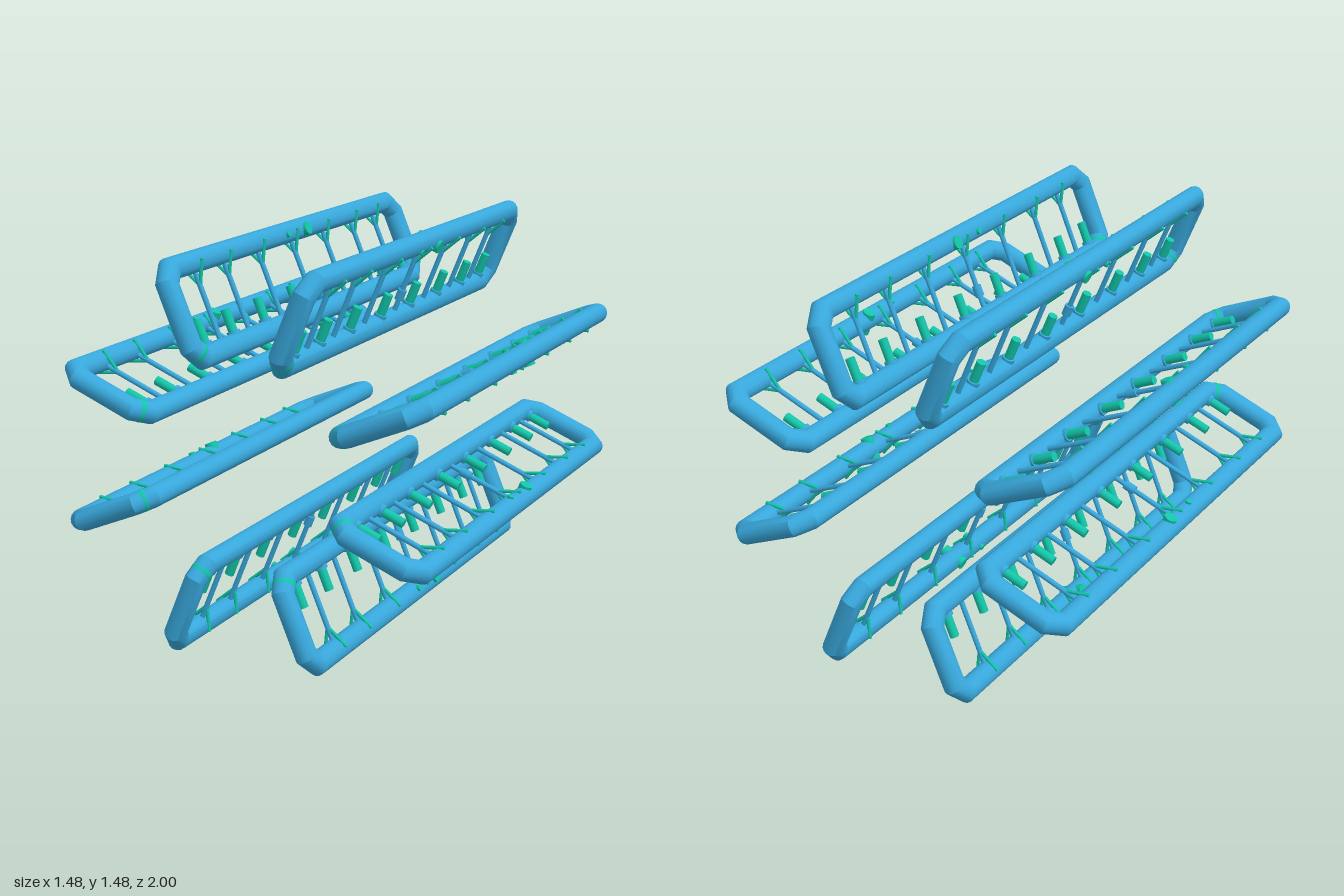
import * as THREE from 'three';
import { toCreasedNormals } from 'three/addons/utils/BufferGeometryUtils.js';

const blue = new THREE.MeshStandardMaterial({ color: 0x38a8dc });
const teal = new THREE.MeshStandardMaterial({ color: 0x12c4a8 });

const INNER = 0.42, OUTER = 0.755, END = 0.958, CHAMFER = 0.05, TUBE = 0.042;
const CENTRE_Y = 0.74;

// Closed tube with mitred, chamfered corners, lying in the xz plane
function frameGeometry() {
  const c = CHAMFER, z = END - CHAMFER, sides = 16;
  const path = [
    [OUTER, -z], [OUTER, z], [OUTER - c, END], [INNER + c, END],
    [INNER, z], [INNER, -z], [INNER + c, -END], [OUTER - c, -END],
  ].map(([x, zz]) => new THREE.Vector2(x, zz));
  const n = path.length, pos = [], idx = [];
  path.forEach((p, i) => {
    const a = p.clone().sub(path[(i + n - 1) % n]).normalize();
    const b = path[(i + 1) % n].clone().sub(p).normalize();
    const t = a.clone().add(b).normalize();
    const reach = TUBE / t.dot(a);
    for (let j = 0; j < sides; j++) {
      const q = (j / sides) * Math.PI * 2, k = Math.cos(q) * reach;
      pos.push(p.x + t.y * k, Math.sin(q) * TUBE, p.y - t.x * k);
      const i2 = (i + 1) % n, j2 = (j + 1) % sides;
      const A = i * sides + j, B = i * sides + j2, C = i2 * sides + j, D = i2 * sides + j2;
      idx.push(A, B, C, B, D, C);
    }
  });
  const g = new THREE.BufferGeometry();
  g.setAttribute('position', new THREE.Float32BufferAttribute(pos, 3));
  g.setIndex(idx);
  return toCreasedNormals(g, 0.5);
}

// Cylinder running between two points
function rod(name, from, to, radius, material, sides = 12) {
  const a = new THREE.Vector3(...from), b = new THREE.Vector3(...to);
  const dir = b.clone().sub(a);
  const m = new THREE.Mesh(new THREE.CylinderGeometry(radius, radius, dir.length(), sides), material);
  m.position.copy(a).add(b).multiplyScalar(0.5);
  m.quaternion.setFromUnitVectors(new THREE.Vector3(0, 1, 0), dir.normalize());
  m.name = name;
  return m;
}

// One radial panel: local x points outward, y across the panel, z along it
function createPanel() {
  const panel = new THREE.Group();
  panel.name = 'panel';

  const frame = new THREE.Mesh(frameGeometry(), blue);
  frame.name = 'tubeFrame';
  panel.add(frame);

  // Cap at the inner front corner
  const cap = new THREE.Mesh(new THREE.SphereGeometry(TUBE + 0.001, 16, 12), teal);
  cap.position.set(INNER + CHAMFER / 2, 0, END - CHAMFER / 2);
  cap.name = 'cornerCap';
  panel.add(cap);

  // Rungs, each forked onto the outer tube
  for (const z of [-0.755, -0.54, -0.277, 0, 0.277, 0.54, 0.755]) {
    panel.add(rod('rung', [INNER, 0, z], [OUTER, 0, z], 0.01, blue));
    for (const s of [-1, 1]) {
      panel.add(rod('rungFork', [0.665, 0, z], [0.755, s * 0.048, z], 0.007, teal, 8));
    }
  }
  panel.add(rod('rungCollar', [0.505, 0, 0], [0.55, 0, 0], 0.018, blue));

  // Pegs in sockets along the inner tube
  for (const z of [0.135, 0.406, 0.652, 0.86]) {
    for (const s of [-1, 1]) {
      panel.add(rod('socket', [INNER, 0, s * z], [0.47, 0, s * z], 0.025, blue));
      panel.add(rod('peg', [INNER, 0, s * z], [0.555, 0, s * z], 0.018, teal, 16));
    }
  }

  // Large and small buttons on both faces of the outer tube
  panel.add(rod('largeButton', [0.745, -0.051, -0.08], [0.745, 0.051, -0.08], 0.026, teal, 16));
  panel.add(rod('smallButton', [0.745, -0.049, 0.08], [0.745, 0.049, 0.08], 0.013, teal, 12));
  return panel;
}

export function createModel() {
  const model = new THREE.Group();
  model.name = 'radialPanelArray';
  const panel = createPanel();
  for (let i = 0; i < 8; i++) {
    const copy = panel.clone();
    copy.rotation.z = ((i + 0.5) * Math.PI) / 4;
    copy.position.y = CENTRE_Y;
    model.add(copy);
  }
  return model;
}
